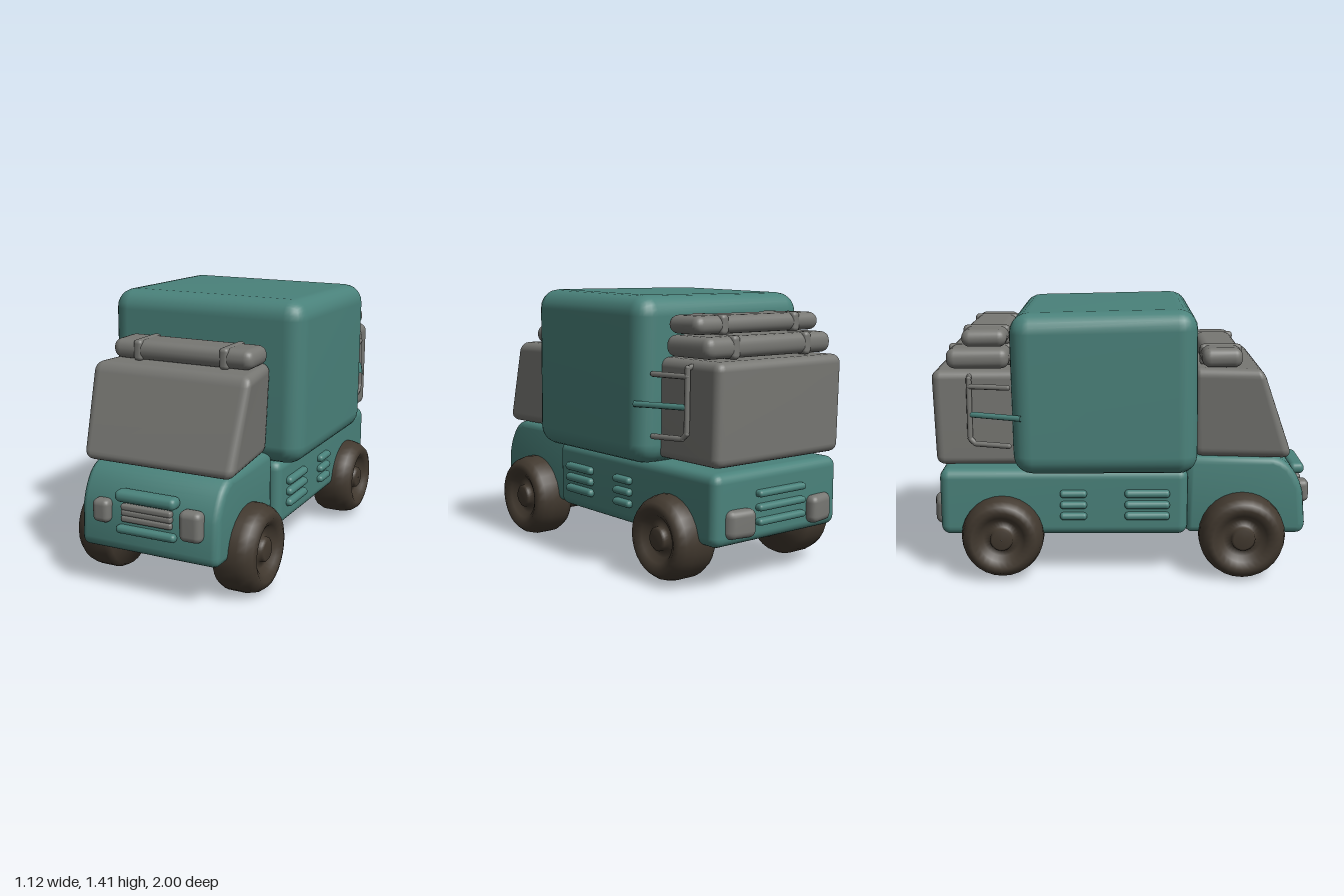
import * as THREE from 'three';
import { mergeVertices, toCreasedNormals } from 'three/addons/utils/BufferGeometryUtils.js';
import { RoundedBoxGeometry } from 'three/addons/geometries/RoundedBoxGeometry.js';

const mat = (name, color) => {
  const m = new THREE.MeshStandardMaterial({ color });
  m.name = name;
  return m;
};

export function createModel() {
  const truck = new THREE.Group();
  truck.name = 'truck';
  const teal = mat('teal paint', 0x4a827b);
  const grey = mat('grey', 0x777773);
  const brown = mat('dark brown', 0x42392f);

  const add = (name, geo, material) => {
    const mesh = new THREE.Mesh(geo, material);
    mesh.name = name;
    truck.add(mesh);
    return mesh;
  };

  // Rounded block between two corners; rule may move each vertex
  const block = (name, material, [x0, x1], [y0, y1], [z0, z1], r, rule) => {
    let g = new RoundedBoxGeometry(x1 - x0, y1 - y0, z1 - z0, 3, r);
    g.translate((x0 + x1) / 2, (y0 + y1) / 2, (z0 + z1) / 2);
    g.deleteAttribute('normal');
    g.deleteAttribute('uv');
    g.clearGroups();
    g = mergeVertices(g, 1e-4);
    if (rule) {
      const p = g.attributes.position, v = new THREE.Vector3();
      for (let i = 0; i < p.count; i++) {
        v.fromBufferAttribute(p, i);
        rule(v);
        p.setXYZ(i, v.x, v.y, v.z);
      }
    }
    g.computeVertexNormals();
    return add(name, g, material);
  };

  // Cargo box, roof falling slightly to the back
  block('cargoBox', teal, [-0.545, 0.545], [0.58, 1.42], [-0.56, 0.38], 0.1, (v) => {
    if (v.y > 1) v.y -= 0.02 * (0.38 - v.z) / 0.94;
    else v.z += 0.008;
  });

  // Rear chassis
  block('chassis', teal, [-0.42, 0.42], [0.23, 0.585], [-0.945, 0.345], 0.05);

  // Cab base with sloping bonnet
  const side = new THREE.Shape();
  side.moveTo(0.36, 0.23);
  side.lineTo(0.92, 0.225);
  side.quadraticCurveTo(0.965, 0.23, 0.965, 0.28);
  side.lineTo(0.95, 0.45);
  side.quadraticCurveTo(0.93, 0.53, 0.88, 0.59);
  side.quadraticCurveTo(0.83, 0.64, 0.77, 0.64);
  side.lineTo(0.36, 0.64);
  side.lineTo(0.335, 0.61);
  side.lineTo(0.335, 0.25);
  const base = new THREE.ExtrudeGeometry(side, {
    depth: 0.69, bevelEnabled: true, bevelThickness: 0.035, bevelSize: 0.035,
    bevelOffset: -0.035, bevelSegments: 3, curveSegments: 5,
  });
  base.translate(0, 0, -0.345).rotateY(-Math.PI / 2);
  add('cabBase', toCreasedNormals(base, 0.7), teal);

  // Cab top: raked windscreen, narrowing to the back
  block('cabTop', grey, [-0.44, 0.44], [0.64, 1.11], [0.37, 0.885], 0.05, (v) => {
    const t = (v.y - 0.64) / 0.47, s = (v.z - 0.37) / 0.515;
    v.x *= (0.86 + 0.13 * s) * (0.96 + 0.05 * t);
    v.z -= 0.165 * t * s;
  });

  // Rear grey body
  block('rearBody', grey, [-0.42, 0.42], [0.61, 1.105], [-0.965, -0.5], 0.045, (v) => {
    if (v.y < 0.85) v.z += 0.01;
  });

  // Bed rolls with straps
  const roll = (name, w, y, z) => {
    block(name, grey, [-w, w], y, z, 0.045);
    for (const s of [-1, 1]) {
      block(name + 'Strap', grey, [s * 0.24 - 0.025, s * 0.24 + 0.025],
        [y[0] - 0.004, y[1] + 0.004], [z[0] - 0.004, z[1] + 0.004], 0.02);
    }
  };
  roll('frontRoofRoll', 0.39, [1.11, 1.21], [0.41, 0.62]);
  roll('rearLowerRoll', 0.42, [1.11, 1.215], [-0.89, -0.57]);
  roll('rearUpperRoll', 0.415, [1.22, 1.31], [-0.81, -0.58]);

  // Each pair of wheels and its axle as one turned solid
  const half = [[0.001, 0.5], [0.05, 0.5], [0.062, 0.49], [0.066, 0.465], [0.1, 0.465],
    [0.125, 0.495], [0.16, 0.515], [0.19, 0.505], [0.213, 0.475], [0.225, 0.43],
    [0.225, 0.33], [0.208, 0.295], [0.12, 0.25], [0.11, 0.22]];
  const axle = (name, y, z, r, w) => {
    const pts = [...half.map(([a, x]) => [a, -x]), ...half.slice().reverse()]
      .map(([a, x]) => new THREE.Vector2(a * r / 0.225, x * w));
    const g = new THREE.LatheGeometry(pts, 28);
    g.rotateZ(-Math.PI / 2);
    add(name, g, brown).position.set(0, y, z);
  };
  axle('frontWheels', 0.23, 0.63, 0.225, 0.98);
  axle('rearWheels', 0.235, -0.62, 0.213, 1.02);

  // Front grille and lamps
  block('grilleTopBar', teal, [-0.168, 0.168], [0.49, 0.55], [0.91, 0.99], 0.027);
  block('grilleLowerBar', teal, [-0.165, 0.165], [0.33, 0.372], [0.93, 0.99], 0.02);
  for (const y of [0.405, 0.437, 0.465]) {
    block('grilleSlat', grey, [-0.14, 0.14], [y - 0.016, y + 0.016], [0.94, 0.975], 0.012);
  }
  block('rightHeadlight', grey, [-0.295, -0.2], [0.37, 0.49], [0.92, 0.995], 0.03);
  block('leftHeadlight', grey, [0.188, 0.308], [0.35, 0.505], [0.92, 1], 0.033);

  // Rear slats
  for (const y of [0.33, 0.4, 0.468]) {
    block('rearSlat', teal, [-0.16, 0.16], [y - 0.017, y + 0.017], [-0.98, -0.92], 0.016);
  }

  for (const s of [-1, 1]) {
    const span = (a, b) => (s > 0 ? [a, b] : [-b, -a]);

    // Tail lamps, turned towards the corners
    block('tailLight', grey, span(0.19, 0.355), [0.27, 0.41], [-0.998, -0.92], 0.035, (v) => {
      v.z += Math.max(0, Math.abs(v.x) - 0.27) * 0.35;
    });

    // Side vents
    for (const y of [0.34, 0.4, 0.46]) {
      block('longVent', teal, span(0.4, 0.45), [y - 0.021, y + 0.021], [0.015, 0.25], 0.02);
      block('shortVent', teal, span(0.4, 0.45), [y - 0.019, y + 0.019], [-0.32, -0.18], 0.018);
    }

    // Side rails on the rear body
    const rail = (name, pts) => {
      const path = new THREE.CurvePath();
      const v = pts.map(([x, y, z]) => new THREE.Vector3(s * x, y, z));
      for (let i = 1; i < v.length; i++) path.add(new THREE.LineCurve3(v[i - 1], v[i]));
      add(name, new THREE.TubeGeometry(path, 32, 0.014, 8), grey);
      for (const p of v) add(name + 'Joint', new THREE.SphereGeometry(0.014, 8, 6), grey).position.copy(p);
    };
    rail('railFrame', [[0.41, 1.075, -0.77], [0.44, 1.07, -0.77], [0.445, 0.76, -0.77],
      [0.45, 0.735, -0.745], [0.485, 0.73, -0.57]]);
    rail('railTop', [[0.443, 1.03, -0.77], [0.485, 1.03, -0.57]]);
    const arm = new THREE.LineCurve3(new THREE.Vector3(s * 0.44, 0.885, -0.77), new THREE.Vector3(s * 0.545, 0.885, -0.5));
    add('railArm', new THREE.TubeGeometry(arm, 4, 0.015, 8), teal);
  }
  return truck;
}
